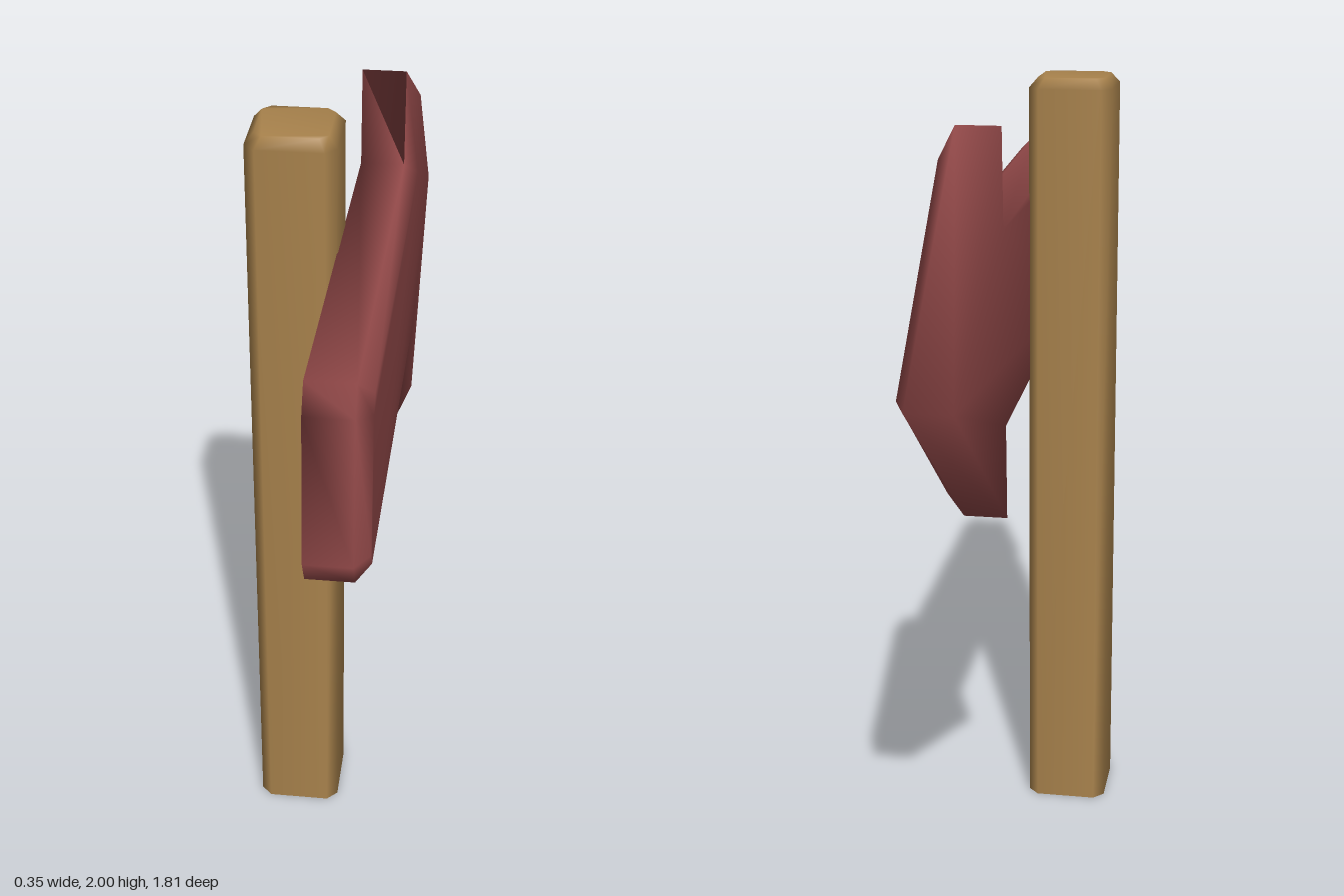
import * as THREE from 'three';

// Smooth closed solid from matching counter-clockwise outlines [u, v], one per level w.
// toXYZ maps (u, v, w) to a position, with w along u cross v.
function loft(levels, toXYZ) {
  const n = levels[0].outline.length;
  const positions = [], index = [];
  for (const { outline, w } of levels) {
    for (const [u, v] of outline) positions.push(...toXYZ(u, v, w));
  }
  for (let k = 0; k < levels.length - 1; k++) {
    for (let i = 0; i < n; i++) {
      const a = k * n + i, b = k * n + (i + 1) % n;
      index.push(a, b, b + n, a, b + n, a + n);
    }
  }
  const cap = (k, flip) => {
    const pts = levels[k].outline.map(([u, v]) => new THREE.Vector2(u, v));
    for (const [a, b, c] of THREE.ShapeUtils.triangulateShape(pts, [])) {
      index.push(k * n + a, k * n + (flip ? c : b), k * n + (flip ? b : c));
    }
  };
  cap(0, true);
  cap(levels.length - 1, false);
  const geometry = new THREE.BufferGeometry();
  geometry.setAttribute('position', new THREE.Float32BufferAttribute(positions, 3));
  geometry.setIndex(index);
  geometry.computeVertexNormals();
  return geometry;
}

// Square outline with cut corners
function cutSquare(h, c) {
  return [[h, -h + c], [h, h - c], [h - c, h], [-h + c, h],
    [-h, h - c], [-h, -h + c], [-h + c, -h], [h - c, -h]];
}

function part(name, geometry, color) {
  const mesh = new THREE.Mesh(geometry, new THREE.MeshStandardMaterial({ color }));
  mesh.name = name;
  return mesh;
}

export function createModel() {
  const model = new THREE.Group();
  model.name = 'signpost';

  // Wooden post with bevelled corners and top
  const post = part('post', loft([
    { outline: cutSquare(0.106, 0.027), w: 0 },
    { outline: cutSquare(0.106, 0.027), w: 1.975 },
    { outline: cutSquare(0.085, 0.02), w: 2 },
  ], (u, v, w) => [v, w, u]), 0xa8824c);
  post.position.set(-0.074, 0, 0.167);
  model.add(post);

  // Arrow board, outlines as [y, z], bevelled around its outer face
  const rim = [[1.68, 0.885], [1.32, 0.905], [1.255, 0.87], [1.2, -0.28], [0.955, -0.27],
    [1.415, -0.905], [1.935, -0.315], [1.69, -0.3], [1.745, 0.85]].reverse();
  const face = [[1.67, 0.85], [1.33, 0.87], [1.29, 0.845], [1.235, -0.315], [1.025, -0.305],
    [1.415, -0.82], [1.86, -0.35], [1.655, -0.335], [1.71, 0.825]].reverse();
  // Both outlines run clockwise or counter-clockwise together; keep them counter-clockwise
  const toVectors = (o) => o.map(([u, v]) => new THREE.Vector2(u, v));
  if (THREE.ShapeUtils.isClockWise(toVectors(rim))) {
    rim.reverse();
    face.reverse();
  }
  model.add(part('arrowBoard', loft([
    { outline: rim, w: 0.03 },
    { outline: rim, w: 0.14 },
    { outline: face, w: 0.174 },
  ], (u, v, w) => [w, u, v]), 0x914848));

  return model;
}
